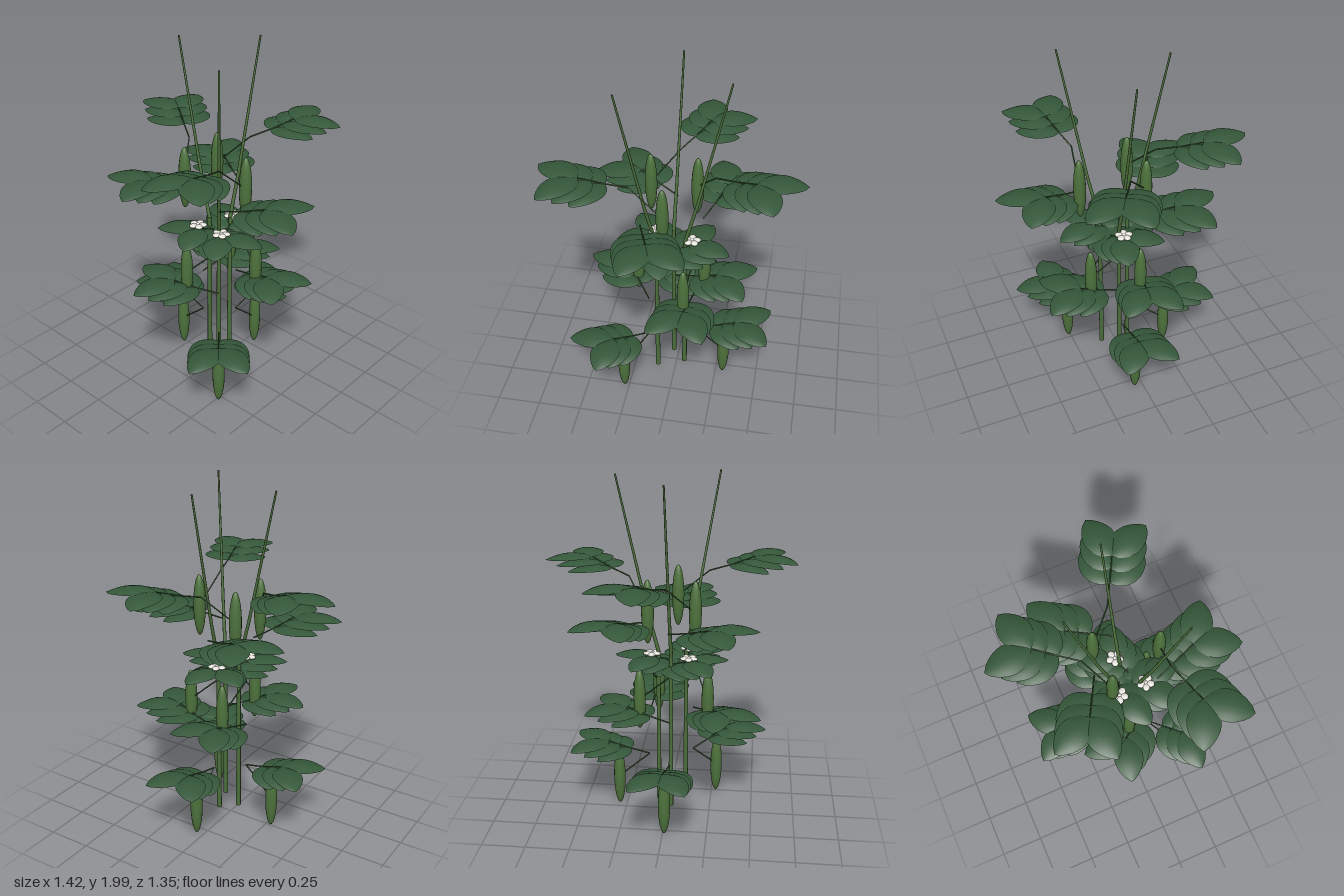
import * as THREE from 'three';

const mat = (name, color, side = THREE.FrontSide) => {
  const m = new THREE.MeshStandardMaterial({ color, side });
  m.name = name;
  return m;
};
const rad = THREE.MathUtils.degToRad;
const V = (x, y, z) => new THREE.Vector3(x, y, z);
// horizontal unit direction, counter-clockwise seen from above
const dir = (deg) => V(Math.cos(rad(deg)), 0, -Math.sin(rad(deg)));

function add(parent, name, geometry, material) {
  const mesh = new THREE.Mesh(geometry, material);
  mesh.name = name;
  parent.add(mesh);
  return mesh;
}

// tapered round rod between two points
function limb(parent, name, a, b, r0, r1, material, sides = 8) {
  const d = b.clone().sub(a);
  const mesh = add(parent, name, new THREE.CylinderGeometry(r1, r0, d.length(), sides), material);
  mesh.position.copy(a).addScaledVector(d, 0.5);
  mesh.quaternion.setFromUnitVectors(V(0, 1, 0), d.normalize());
  return mesh;
}

// arched ovate leaflet with drooping sides, base at the origin, growing along +x
function leafletGeometry(length, halfWidth) {
  const g = new THREE.PlaneGeometry(1, 2, 12, 6).rotateX(-Math.PI / 2);
  const p = g.attributes.position;
  for (let i = 0; i < p.count; i++) {
    const u = p.getX(i) + 0.5, v = p.getZ(i);
    const w = halfWidth * Math.pow(Math.max(0, Math.sin(Math.PI * Math.pow(u, 0.9))), 0.7);
    p.setXYZ(i, u * length, 0.09 * u - 0.105 * u * u - 0.018 * v * v * (w / halfWidth), v * w);
  }
  g.computeVertexNormals();
  return g;
}

export function createModel() {
  const root = new THREE.Group();
  root.name = 'climbingBeanPlant';

  const leafMat = mat('leaf green', 0x35583a, THREE.DoubleSide);
  const stemMat = mat('stem green', 0x4b6d3b);
  const stalkMat = mat('stalk green', 0x3a5a33);
  const podMat = mat('pod green', 0x4d723c);
  const petalMat = mat('petal white', 0xf0ede6);

  const leaflet = leafletGeometry(0.26, 0.085);
  const podGeo = new THREE.SphereGeometry(1, 14, 14).scale(0.035, 0.182, 0.035);
  const petalGeo = new THREE.SphereGeometry(1, 10, 8).scale(0.024, 0.01, 0.021);
  const budGeo = new THREE.SphereGeometry(0.012, 8, 6);

  // compound leaf: bent leaf stalk with three pairs of leaflets
  function compoundLeaf(scale) {
    const leaf = new THREE.Group();
    leaf.name = 'compoundLeaf';
    const bend = V(0.115, 0.028, 0), end = V(0.25, 0.072, 0);
    limb(leaf, 'leafStalk', V(0, 0, 0), bend, 0.0045, 0.004, stalkMat, 6);
    limb(leaf, 'leafRib', bend, end, 0.004, 0.0025, stalkMat, 6);
    for (let i = 0; i < 3; i++) {
      for (const s of [-1, 1]) {
        const blade = add(leaf, 'leaflet', leaflet, leafMat);
        blade.position.lerpVectors(bend, end, i / 2);
        blade.rotation.y = s * rad(44 - 3 * i);
        blade.scale.setScalar(0.94 + 0.03 * i);
      }
    }
    leaf.scale.set(scale, 1, scale);
    return leaf;
  }

  // flower: five rounded petals round a small bud
  function flower(x, z) {
    const f = new THREE.Group();
    f.name = 'flower';
    for (let i = 0; i < 5; i++) {
      const a = rad(72 * i + 18);
      const petal = add(f, 'petal', petalGeo, petalMat);
      petal.position.set(Math.cos(a) * 0.028, 0, -Math.sin(a) * 0.028);
      petal.rotation.y = a;
    }
    add(f, 'flowerBud', budGeo, petalMat);
    f.position.set(x, 0.995, z);
    return f;
  }

  // three stems, each with its own outward heading
  const stems = [
    { x: 0.055, z: 0.045, out: 0, flower: [0.09, 0.03] },
    { x: -0.025, z: -0.04, out: 86, flower: [-0.125, -0.035] },
    { x: -0.1, z: 0.1, out: 222, flower: [-0.115, 0.13] },
  ];
  // nodes up a stem: height, leaf turn, leaf scale and pod turn
  const nodes = [
    { y: 0.35, turn: 0, scale: 0.98, pod: 0 },
    { y: 0.62, turn: -96, scale: 1 },
    { y: 0.9, turn: 163, scale: 0.94, pod: -102 },
    { y: 1.17, turn: 66, scale: 1.04 },
    { y: 1.44, turn: -29, scale: 1.025, pod: 130 },
  ];
  // outward lean of a stem at a height
  const lean = (y) => (y < 1 ? 0 : y < 1.25 ? (y - 1) * 0.26 : 0.065 + (y - 1.25) * 0.22);

  for (const s of stems) {
    const vine = new THREE.Group();
    vine.name = 'vine';
    root.add(vine);
    const out = dir(s.out);
    const at = (y, extra = 0) => V(s.x, y, s.z).addScaledVector(out, lean(y) + extra);

    limb(vine, 'lowerStem', at(0.055), at(1), 0.0145, 0.011, stemMat, 10);
    limb(vine, 'middleStem', at(1), at(1.25), 0.011, 0.009, stemMat, 10);
    limb(vine, 'upperStem', at(1.25), at(2), 0.009, 0.005, stemMat, 10);

    for (const n of nodes) {
      const node = at(n.y, 0.055);
      const leaf = compoundLeaf(n.scale);
      leaf.position.copy(node);
      leaf.rotation.y = rad(s.out + n.turn);
      vine.add(leaf);
      if (n.pod !== undefined) {
        const end = node.clone().addScaledVector(dir(s.out + n.pod), 0.183);
        end.y -= 0.16;
        limb(vine, 'podStalk', node, end, 0.004, 0.004, stalkMat, 6);
        add(vine, 'pod', podGeo, podMat).position.copy(end);
      }
    }
    vine.add(flower(...s.flower));
  }
  return root;
}
